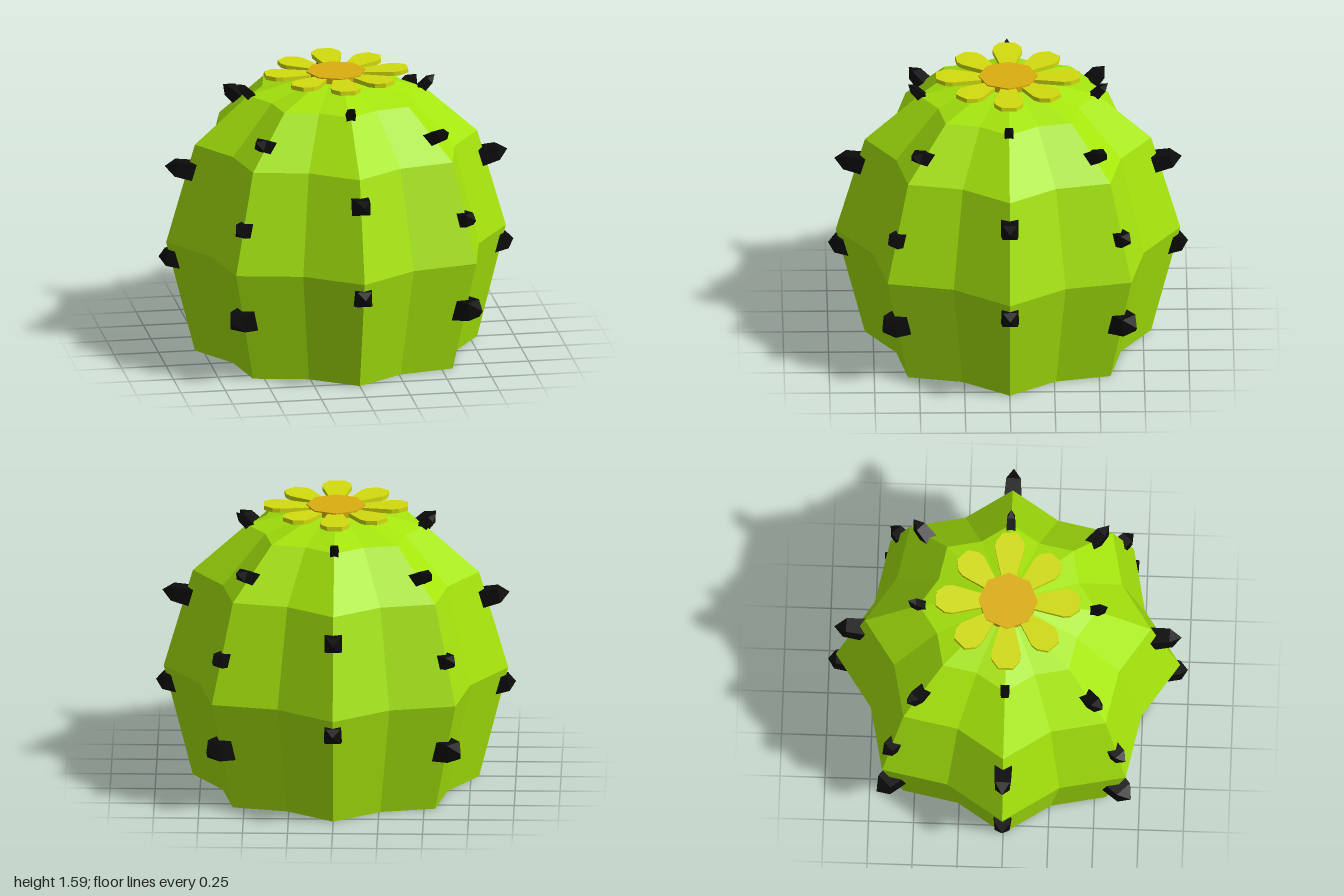
import * as THREE from 'three';

const mat = (color) => new THREE.MeshStandardMaterial({ color, flatShading: true });

// Ribbed body: 8 sharp ridges with valleys between, lofted from [radius, height] rings
function bodyGeometry() {
  const rings = [[0, 0], [0.795, 0], [0.957, 0.64], [0.795, 1.2], [0.495, 1.47], [0.17, 1.56], [0, 1.57]];
  const n = 16, pos = [], idx = [];
  for (const [r, y] of rings) {
    for (let i = 0; i < n; i++) {
      const a = (i / n) * Math.PI * 2;
      const rr = r * (i % 2 ? 0.85 : 1);
      pos.push(rr * Math.sin(a), y, rr * Math.cos(a));
    }
  }
  for (let k = 0; k < rings.length - 1; k++) {
    for (let i = 0; i < n; i++) {
      const j = (i + 1) % n;
      const a = k * n + i, b = k * n + j, c = a + n, d = b + n;
      if (k > 0) idx.push(a, b, d);
      if (k < rings.length - 2) idx.push(a, d, c);
    }
  }
  // bottom fan, facing down
  for (let i = 0; i < n; i++) idx.push(i, n + ((i + 1) % n), n + i);
  const g = new THREE.BufferGeometry();
  g.setAttribute('position', new THREE.Float32BufferAttribute(pos, 3));
  g.setIndex(idx);
  const flat = g.toNonIndexed();
  flat.computeVertexNormals();
  return flat;
}

// Square tapered thorn with a pyramid tip, running from base to tip
function makeSpike(base, tip, half, material) {
  const dir = new THREE.Vector2(tip[0] - base[0], tip[1] - base[1]);
  const len = dir.length(), r = half * Math.SQRT2;
  const profile = [[0, 0], [r, 0], [r * 0.78, len * 0.72], [0, len]].map((p) => new THREE.Vector2(...p));
  const g = new THREE.LatheGeometry(profile, 4, Math.PI / 4);
  g.rotateX(Math.atan2(dir.x, dir.y));
  g.translate(0, base[1], base[0]);
  const mesh = new THREE.Mesh(g, material);
  mesh.name = 'spike';
  return mesh;
}

// Rounded petal, narrow at the root, pointing to +z
function petalGeometry(length) {
  const w = 0.082, half = [[0.025, 0.08], [0.045, 0.16], [w, length - 0.09], [w * 0.95, length - 0.05], [w * 0.5, length]];
  const pts = [...half, ...half.map(([x, y]) => [-x, y]).reverse()];
  const shape = new THREE.Shape(pts.map((p) => new THREE.Vector2(...p)));
  const g = new THREE.ExtrudeGeometry(shape, { depth: 0.024, bevelEnabled: false });
  g.rotateX(Math.PI / 2);
  g.rotateX(-0.035);
  g.translate(0, 1.58, 0);
  return g;
}

export function createModel() {
  const group = new THREE.Group();
  const body = new THREE.Mesh(bodyGeometry(), mat(0xa6e60c));
  body.name = 'cactusBody';
  group.add(body);

  // Thorns: [base radius, height], [tip radius, height], half width
  const straight = [
    [[0.86, 0.545], [1.0, 0.56], 0.053],
    [[0.76, 1.04], [0.965, 1.085], 0.052],
    [[0.45, 1.435], [0.555, 1.54], 0.027],
  ];
  const diagonal = [
    [[0.79, 0.36], [1.0, 0.37], 0.064],
    [[0.8, 0.88], [0.955, 0.89], 0.044],
    [[0.6, 1.285], [0.77, 1.37], 0.04],
  ];
  const black = mat(0x0b0b0b);
  const spikes = new THREE.Group();
  spikes.name = 'spikes';
  for (let i = 0; i < 8; i++) {
    for (const [base, tip, half] of i % 2 ? diagonal : straight) {
      const s = makeSpike(base, tip, half, black);
      s.rotation.y = (i * Math.PI) / 4;
      spikes.add(s);
    }
  }
  group.add(spikes);

  // Flower on the crown
  const flower = new THREE.Group();
  flower.name = 'flower';
  const yellow = mat(0xd2dc0e);
  for (let i = 0; i < 8; i++) {
    const petal = new THREE.Mesh(petalGeometry(i % 2 ? 0.37 : 0.4), yellow);
    petal.name = 'petal';
    petal.rotation.y = (i * Math.PI) / 4;
    flower.add(petal);
  }
  const centre = new THREE.Mesh(new THREE.CylinderGeometry(0.165, 0.165, 0.035, 8), mat(0xdcae10));
  centre.name = 'flowerCentre';
  centre.position.y = 1.575;
  flower.add(centre);
  group.add(flower);
  return group;
}
